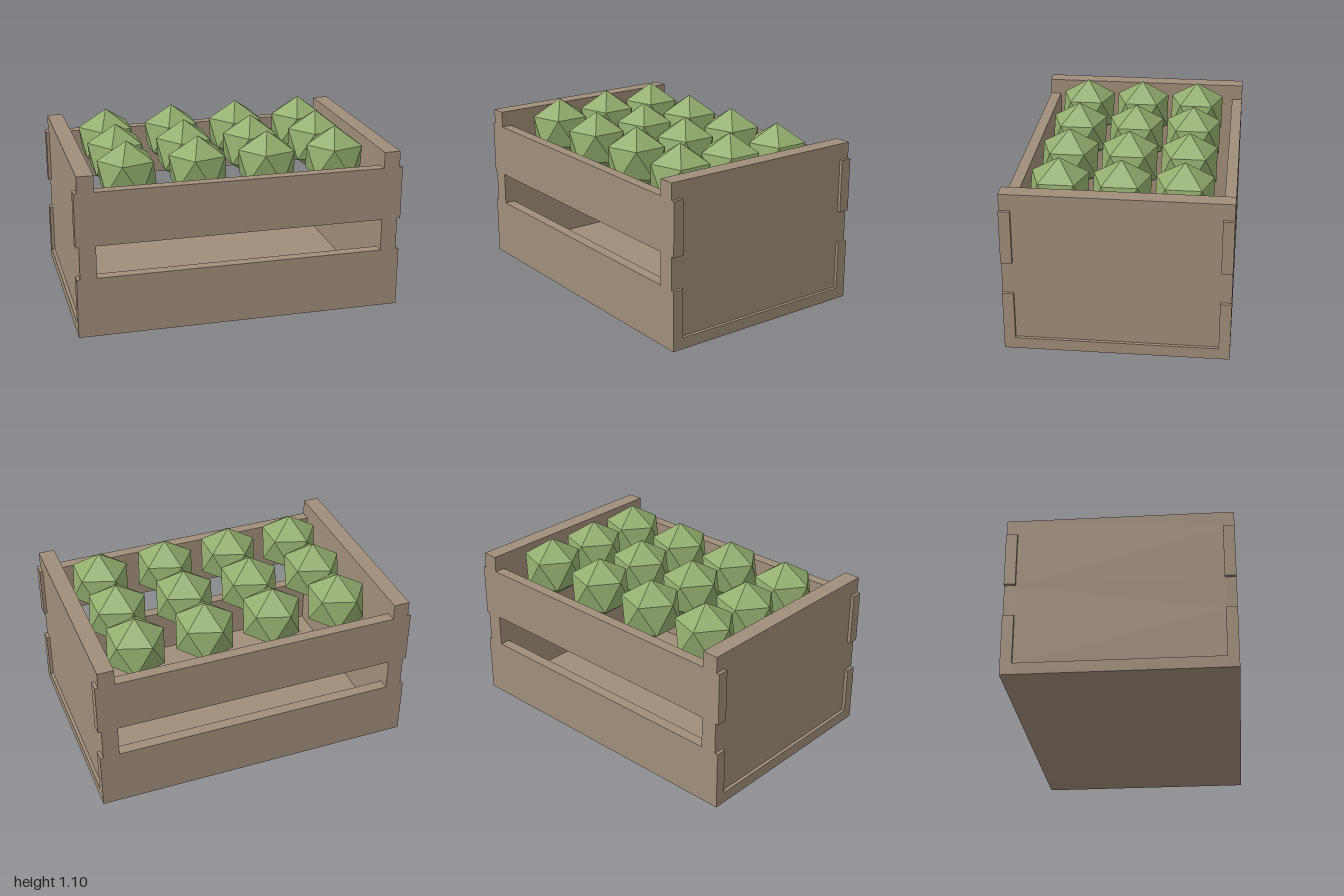
import * as THREE from 'three';

export function createModel() {
  const model = new THREE.Group();
  model.name = 'produceCrate';

  const wood = new THREE.MeshStandardMaterial({ color: 0xa18e7a });
  wood.name = 'wood';
  const green = new THREE.MeshStandardMaterial({ color: 0x92ad6e, flatShading: true });
  green.name = 'leafGreen';

  const D = 0.667; // half depth of the crate
  const I = 0.6;   // half depth inside the planks

  const add = (name, geometry, material, x, y, z) => {
    const mesh = new THREE.Mesh(geometry, material);
    mesh.name = name;
    mesh.position.set(x, y, z);
    model.add(mesh);
  };

  // Base board between the lower planks
  add('base', new THREE.BoxGeometry(2, 0.07, 2 * I), wood, 0, 0.035, 0);

  // Two planks on the front and the back
  for (const [side, s] of [['front', 1], ['back', -1]]) {
    for (const [level, low, high] of [['Lower', 0, 0.37], ['Upper', 0.57, 0.9]]) {
      const plank = new THREE.BoxGeometry(2, high - low, D - I);
      add(side + level + 'Plank', plank, wood, 0, (low + high) / 2, s * (D + I) / 2);
    }
  }

  // End panels, notched to take the planks
  const edge = [[I, 0.07], [I, 0.37], [D, 0.37], [D, 0.57], [I, 0.57], [I, 0.9], [D, 0.9], [D, 1]];
  const mirrored = edge.map(([z, y]) => [-z, y]).reverse();
  const outline = [...edge, ...mirrored].map(([z, y]) => new THREE.Vector2(z, y));
  const panel = new THREE.ExtrudeGeometry(new THREE.Shape(outline), { depth: 0.1, bevelEnabled: false });
  panel.rotateY(Math.PI / 2);
  add('leftEndPanel', panel, wood, 0.88, 0, 0);
  add('rightEndPanel', panel, wood, -0.98, 0, 0);

  // Rows of faceted cabbages, each standing on a point
  const cabbage = new THREE.IcosahedronGeometry(0.2, 0);
  cabbage.rotateZ(Math.atan(2 / (1 + Math.sqrt(5))));
  for (let row = 0; row < 3; row++) {
    for (let col = 0; col < 4; col++) {
      add(`cabbage${row * 4 + col + 1}`, cabbage, green, -0.636 + col * 0.433, 0.9, (row - 1) * 0.367);
    }
  }

  return model;
}
